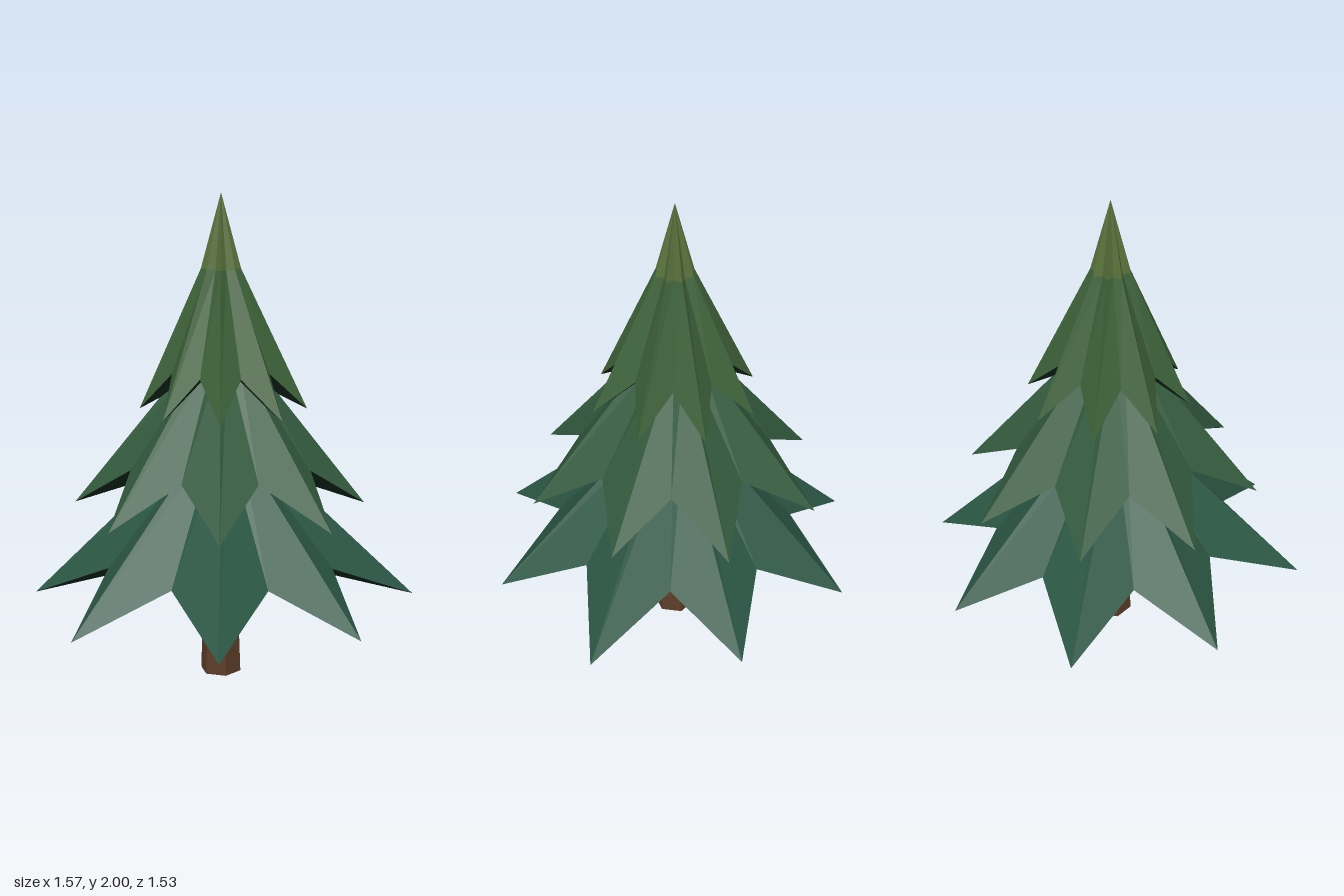
import * as THREE from 'three';

const AXIS_X = 0.02;
const POINTS = 8;

// Eight-pointed ring: tip radii start at +x and turn towards +z, valleys lie between them
function starRing(tipRadii, tipY, valleyRadius, valleyY) {
  const ring = [];
  for (let i = 0; i < POINTS * 2; i++) {
    const angle = (i * Math.PI) / POINTS;
    const isTip = i % 2 === 0;
    const r = isTip ? tipRadii[i / 2] : valleyRadius;
    ring.push(new THREE.Vector3(r * Math.cos(angle), isTip ? tipY : valleyY, r * Math.sin(angle)));
  }
  return ring;
}

const evenRing = (tip, valley, y) => starRing(Array(POINTS).fill(tip), y, valley, y);
const pointRing = (y) => evenRing(0, 0, y);

// Skin between successive rings; rings that rise give outward faces
function skin(name, rings, color) {
  const corners = [];
  for (let k = 0; k < rings.length - 1; k++) {
    const [low, high] = [rings[k], rings[k + 1]];
    for (let i = 0; i < low.length; i++) {
      const j = (i + 1) % low.length;
      // Split each quad, leaving out triangles that collapse at a point
      for (const tri of [[low[i], high[i], low[j]], [low[j], high[i], high[j]]]) {
        if (new THREE.Triangle(...tri).getArea() > 1e-8) corners.push(...tri);
      }
    }
  }
  const geometry = new THREE.BufferGeometry().setFromPoints(corners);
  geometry.computeVertexNormals();
  const mesh = new THREE.Mesh(geometry, new THREE.MeshStandardMaterial({ color, flatShading: true }));
  mesh.name = name;
  return mesh;
}

// One tier of boughs: star-shaped skirt with a shallow, darker underside
function boughTier({ name, tips, tipY, valley, valleyY, neck, apexY, color }) {
  const tier = new THREE.Group();
  tier.name = name;
  const rim = starRing(tips, tipY, valley, valleyY);
  const rings = [rim, evenRing(...neck)];
  if (apexY) rings.push(pointRing(apexY));
  tier.add(skin(name + 'Needles', rings, color));
  tier.add(skin(name + 'Underside', [pointRing(valleyY + 0.02), rim], 0x14291f));
  return tier;
}

export function createModel() {
  const tree = new THREE.Group();
  tree.name = 'pineTree';

  // Tapered six-sided trunk
  const trunk = new THREE.Mesh(
    new THREE.CylinderGeometry(0.065, 0.086, 0.56, 6).rotateY(Math.PI / 6),
    new THREE.MeshStandardMaterial({ color: 0x5c3d29, flatShading: true })
  );
  trunk.name = 'trunk';
  trunk.position.y = 0.28;
  tree.add(trunk);

  // Three overlapping tiers, narrowing and steepening upwards
  const tiers = [
    {
      name: 'lowerBoughs', color: 0x2b5644,
      tips: [0.76, 0.8, 0.77, 0.78, 0.805, 0.775, 0.765, 0.765],
      tipY: 0.34, valley: 0.49, valleyY: 0.51, neck: [0.11, 0.08, 1.0], apexY: 1.12,
    },
    {
      name: 'middleBoughs', color: 0x335a3e,
      tips: [0.605, 0.59, 0.61, 0.585, 0.61, 0.6, 0.585, 0.62],
      tipY: 0.735, valley: 0.39, valleyY: 0.91, neck: [0.1, 0.07, 1.36], apexY: 1.5,
    },
    {
      name: 'upperBoughs', color: 0x3d6139,
      tips: [0.345, 0.35, 0.345, 0.33, 0.32, 0.33, 0.34, 0.345],
      tipY: 1.13, valley: 0.21, valleyY: 1.29, neck: [0.08, 0.055, 1.7],
    },
  ];
  for (const tier of tiers) tree.add(boughTier(tier));

  // Pale growing tip
  tree.add(skin('treeTip', [evenRing(0.08, 0.055, 1.7), pointRing(2)], 0x56703a));

  for (const part of tree.children) part.position.x = AXIS_X;
  return tree;
}
